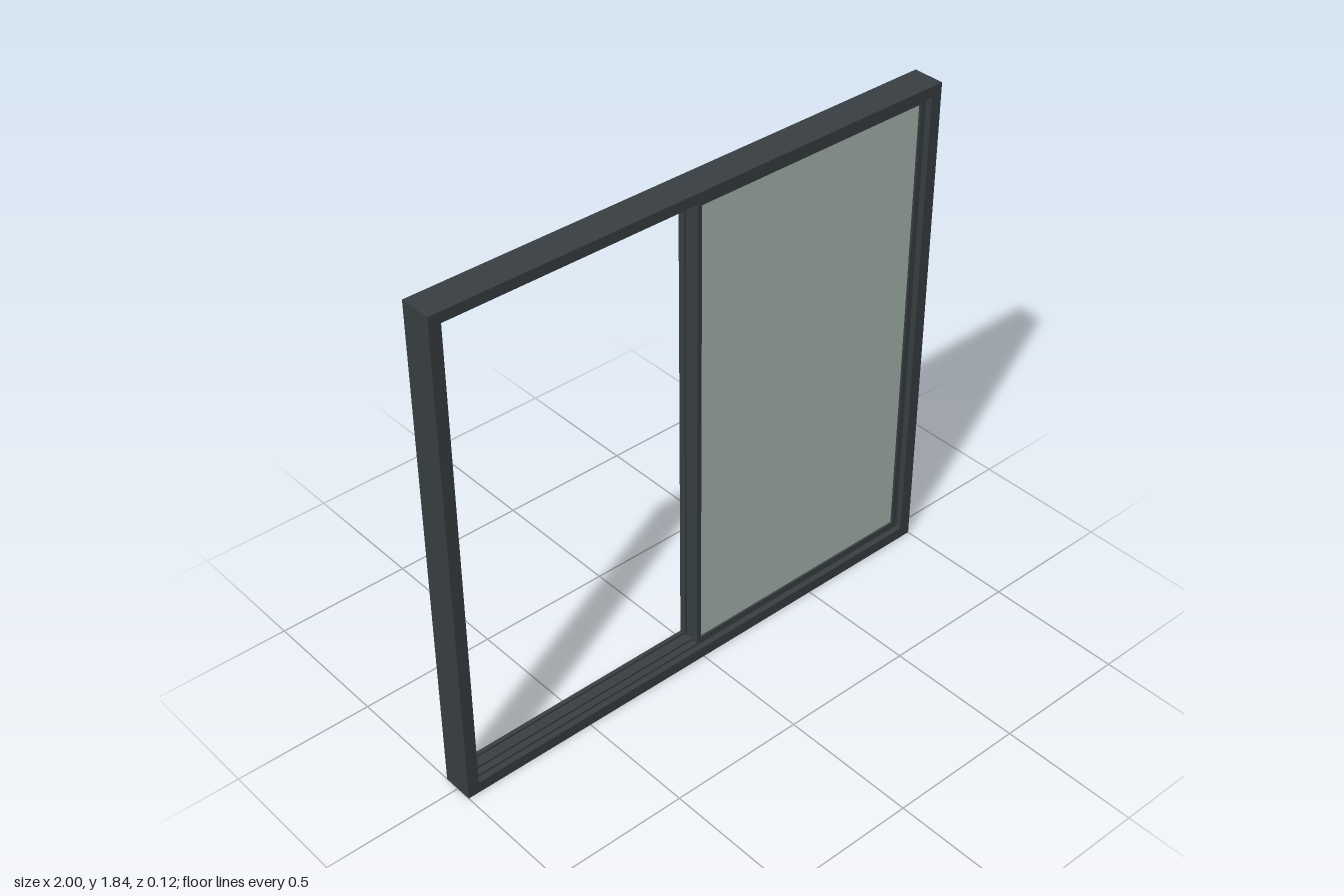
import * as THREE from 'three';

const frameMat = new THREE.MeshStandardMaterial({ color: 0x383e42 });
const glassMat = new THREE.MeshStandardMaterial({ color: 0xa9b9b1 });

// Box given by its extents on each axis
function bar(parent, name, [x0, x1], [y0, y1], [z0, z1], mat = frameMat) {
  const mesh = new THREE.Mesh(new THREE.BoxGeometry(x1 - x0, y1 - y0, z1 - z0), mat);
  mesh.position.set((x0 + x1) / 2, (y0 + y1) / 2, (z0 + z1) / 2);
  mesh.name = name;
  parent.add(mesh);
}

export function createModel() {
  const model = new THREE.Group();
  model.name = 'slidingWindow';
  const H = 1.835, D = 0.0575, J = 0.957;

  // Outer frame
  const frame = new THREE.Group();
  frame.name = 'outerFrame';
  model.add(frame);
  bar(frame, 'leftJamb', [J, 1], [0, H], [-D, D]);
  bar(frame, 'rightJamb', [-1, -J], [0, H], [-D, D]);
  bar(frame, 'sill', [-J, J], [0, 0.042], [-D, D]);
  bar(frame, 'head', [-J, J], [H - 0.038, H], [-D, D]);

  // Raised tracks along the sill and the head
  for (const z of [-0.042, 0, 0.03]) {
    bar(frame, 'sillTrack', [-J, J], [0.042, 0.05], [z - 0.006, z + 0.006]);
    bar(frame, 'headTrack', [-J, J], [H - 0.044, H - 0.038], [z - 0.006, z + 0.006]);
  }

  // Glazed panel filling the left half
  const panel = new THREE.Group();
  panel.name = 'glazedPanel';
  model.add(panel);
  const x0 = -0.012, x1 = J, y0 = 0.046, y1 = 1.793, z = [-0.05, 0.035];
  bar(panel, 'bottomRail', [0.006, 0.934], [y0, 0.066], z);
  bar(panel, 'topRail', [0.006, 0.934], [1.771, y1], z);
  bar(panel, 'outerStile', [0.934, x1], [y0, y1], z);

  // Meeting stile with a shallow channel between two fins
  bar(panel, 'meetingStile', [-0.004, 0.006], [y0, y1], z);
  bar(panel, 'backFin', [x0, -0.004], [y0, y1], [z[0], -0.025]);
  bar(panel, 'frontFin', [x0, -0.004], [y0, y1], [0.012, z[1]]);

  // Insulated glass unit, set slightly back from both faces
  bar(panel, 'glass', [0.006, 0.934], [0.066, 1.771], [-0.042, 0.027], glassMat);

  return model;
}
